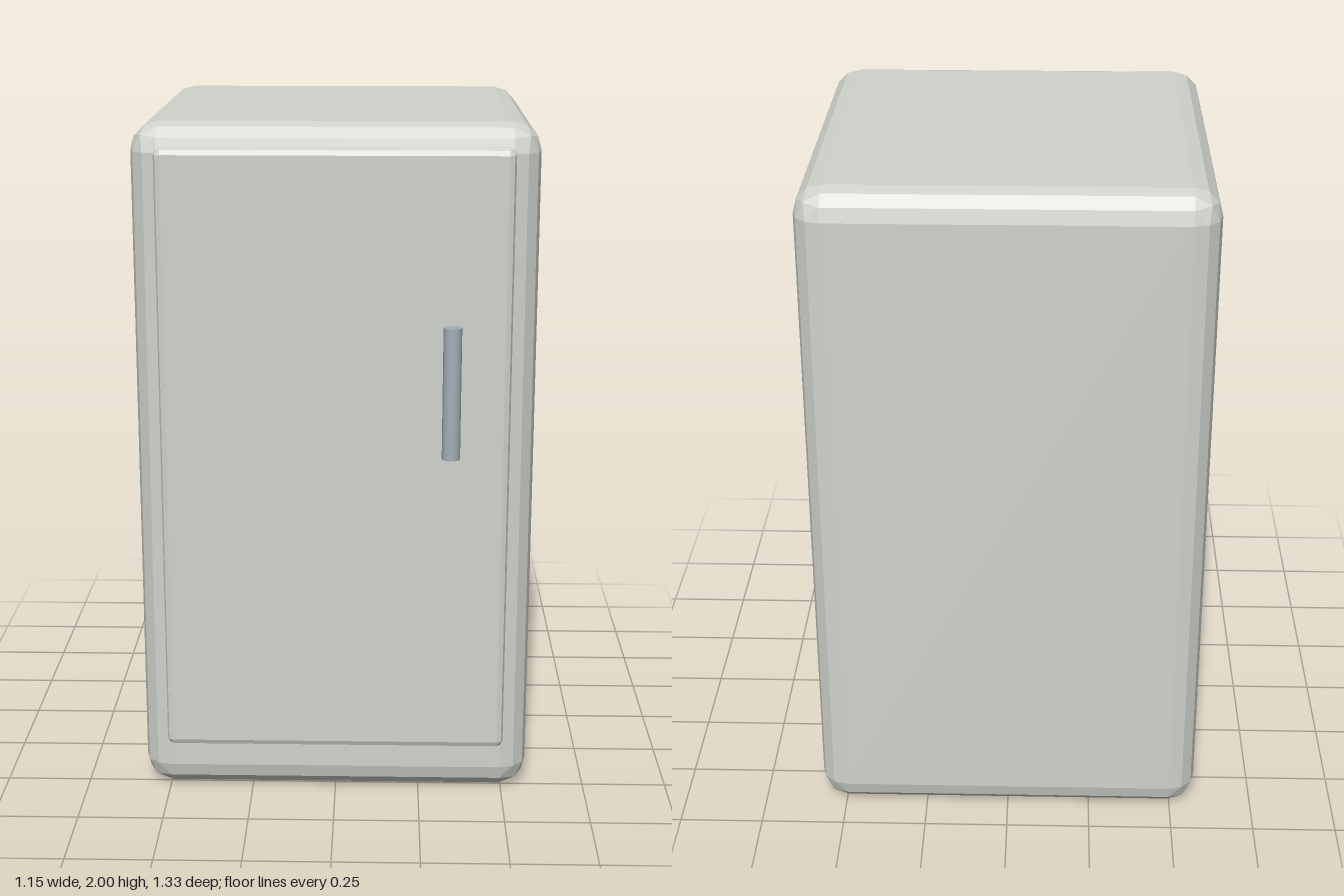
import * as THREE from 'three';
import { ConvexGeometry } from 'three/addons/geometries/ConvexGeometry.js';

// Box with faceted round edges: n facets per edge, radius r
function bevelledBox(w, h, d, r, n) {
  const points = [];
  const step = (i) => Math.sin((i / n) * Math.PI / 2);
  for (const sx of [-1, 1]) for (const sy of [-1, 1]) for (const sz of [-1, 1]) {
    for (let i = 0; i <= n; i++) for (let j = 0; j <= n - i; j++) {
      const dir = new THREE.Vector3(step(i), step(j), step(n - i - j)).normalize();
      points.push(new THREE.Vector3(
        sx * (w / 2 - r + r * dir.x),
        sy * (h / 2 - r + r * dir.y),
        sz * (d / 2 - r + r * dir.z)));
    }
  }
  return new ConvexGeometry(points);
}

export function createModel() {
  const group = new THREE.Group();
  const enamel = new THREE.MeshStandardMaterial({ color: 0xd0d3cc, flatShading: true });
  const metal = new THREE.MeshStandardMaterial({ color: 0xa3afb6 });

  const add = (name, geometry, material, x, y, z) => {
    const mesh = new THREE.Mesh(geometry, material);
    mesh.name = name;
    mesh.position.set(x, y, z);
    group.add(mesh);
  };

  // Cabinet
  add('cabinet', bevelledBox(1.15, 2, 1.22, 0.08, 3), enamel, 0, 1, -0.054);

  // Door panel, slightly sunk into the cabinet front
  add('door', bevelledBox(1, 1.78, 0.05, 0.02, 2), enamel, 0, 1.05, 0.573);

  // Upright bar handle, standing just clear of the door
  add('handle', new THREE.CylinderGeometry(0.026, 0.026, 0.38, 16), metal, 0.33, 1.26, 0.637);

  return group;
}
